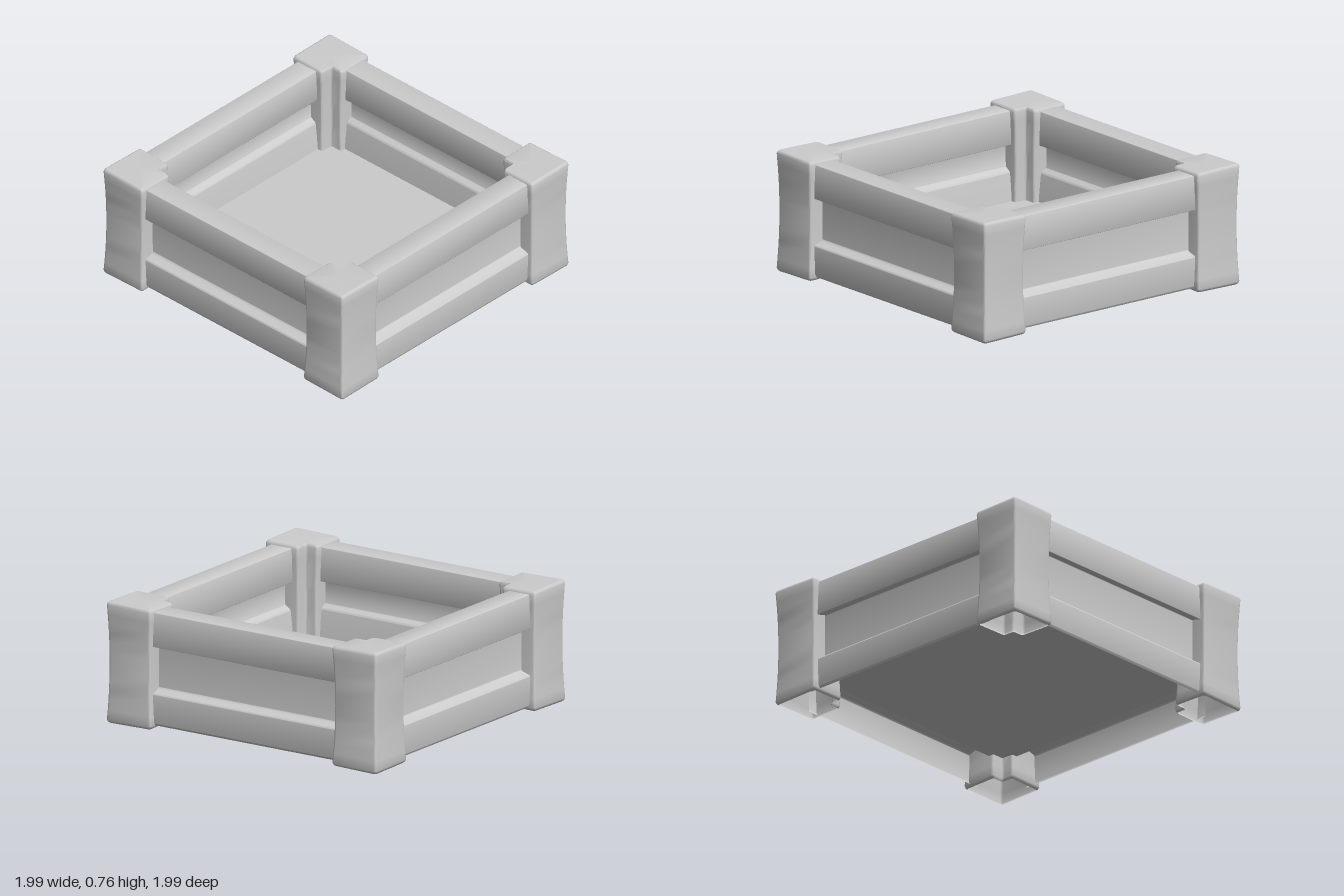
import * as THREE from 'three';
import { toCreasedNormals } from 'three/addons/utils/BufferGeometryUtils.js';

const material = new THREE.MeshStandardMaterial({ color: 0xcccccc, side: THREE.DoubleSide });

// Polyline with every corner rounded by radius r; returns Vector2 points.
function rounded(corners, r, closed) {
  const pts = corners.map(([x, y]) => new THREE.Vector2(x, y));
  const n = pts.length;
  const out = [];
  pts.forEach((p, i) => {
    if (!closed && (i === 0 || i === n - 1)) return out.push(p);
    const toward = (q) => p.clone().add(q.clone().sub(p).setLength(r));
    const curve = new THREE.QuadraticBezierCurve(toward(pts[(i + n - 1) % n]), p, toward(pts[(i + 1) % n]));
    out.push(...curve.getPoints(4));
  });
  return out;
}

// Skin through equal-length rings of Vector3; optional fan cap on the last ring.
function loft(rings, closed, capCentre) {
  const n = rings[0].length;
  const pts = rings.flat();
  const index = [];
  for (let j = 0; j < rings.length - 1; j++) {
    for (let i = 0; i < (closed ? n : n - 1); i++) {
      const a = j * n + i, b = j * n + (i + 1) % n;
      index.push(a, a + n, b, b, a + n, b + n);
    }
  }
  if (capCentre) {
    const base = (rings.length - 1) * n;
    for (let i = 0; i < n; i++) index.push(pts.length, base + (i + 1) % n, base + i);
    pts.push(capCentre);
  }
  const geometry = new THREE.BufferGeometry().setFromPoints(pts);
  geometry.setIndex(index);
  return toCreasedNormals(geometry, 0.7);
}

// Hollow corner post: notched square outline, waisted, open underneath, flat on top.
function postGeometry() {
  const h = 0.164, k = -0.079;
  const outline = rounded([[h, -h], [h, h], [-h, h], [-h, k], [k, k], [k, -h]], 0.018, true);
  const centre = 0.833, mid = 0.38, top = 0.756;
  const levels = [[0.005, 0.92], [0.012, 0.97], [0.025, 1]];
  for (let i = 1; i < 12; i++) {
    const t = -1 + i / 6;
    levels.push([mid + t * 0.355, 1 - 0.075 * (1 - t * t)]);
  }
  levels.push([0.735, 1], [0.749, 0.975], [top, 0.92], [top, 0.88]);
  const rings = levels.map(([y, s]) => outline.map((p) => {
    const flare = 1 + 0.05 * (p.x + p.y) * s; // taller toward the outer corner
    return new THREE.Vector3(centre + p.x * s, mid + (y - mid) * flare, centre + p.y * s);
  }));
  return loft(rings, true, new THREE.Vector3(centre, top, centre));
}

// One side: rails around a recessed panel, with a taller sloped skirt inside,
// folded as a single shell that is open underneath.
function wallGeometry() {
  const profile = rounded([
    [0.945, 0.025], [0.955, 0.04], [0.955, 0.225], [0.89, 0.245], [0.89, 0.535], [0.955, 0.515],
    [0.955, 0.735], [0.8, 0.735], [0.8, 0.515], [0.855, 0.535], [0.855, 0.37], [0.815, 0.345], [0.792, 0.165],
  ], 0.009, false);
  const rings = [0.74, -0.74].map((x) => profile.map((p) => new THREE.Vector3(x, p.y, p.x)));
  return loft(rings, false);
}

export function createModel() {
  const model = new THREE.Group();
  const add = (name, geometry, angle = 0) => {
    const mesh = new THREE.Mesh(geometry, material);
    mesh.name = name;
    mesh.rotation.y = angle;
    model.add(mesh);
  };

  // Four posts and four walls around the centre
  const post = postGeometry(), wall = wallGeometry();
  const posts = ['frontLeftPost', 'backLeftPost', 'backRightPost', 'frontRightPost'];
  const walls = ['frontWall', 'leftWall', 'backWall', 'rightWall'];
  for (let i = 0; i < 4; i++) {
    add(posts[i], post, i * Math.PI / 2);
    add(walls[i], wall, i * Math.PI / 2);
  }

  // Thin raised floor
  add('floor', new THREE.PlaneGeometry(1.59, 1.59).rotateX(-Math.PI / 2).translate(0, 0.165, 0));
  return model;
}
